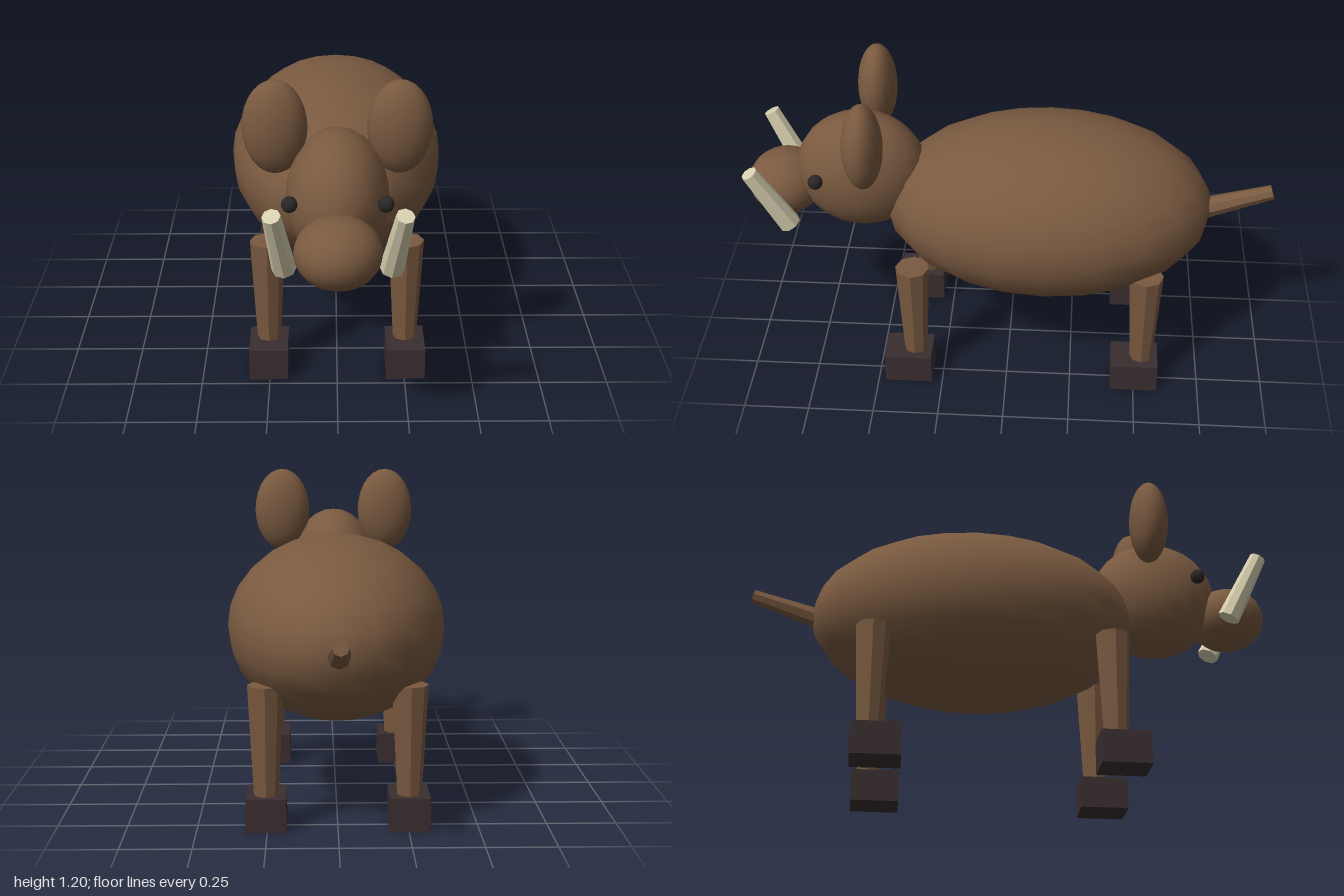
import * as THREE from 'three';

const mat = (name, color) => {
  const m = new THREE.MeshStandardMaterial({ color });
  m.name = name;
  return m;
};

export function createModel() {
  const group = new THREE.Group();
  const hide = mat('brown hide', 0x7a5a40);
  const ivory = mat('ivory', 0xd8d0b0);
  const hoofDark = mat('dark hoof', 0x3a2e30);
  const eyeDark = mat('dark eye', 0x2a2626);

  const add = (name, geometry, material, pos) => {
    const mesh = new THREE.Mesh(geometry, material);
    mesh.name = name;
    mesh.position.set(...pos);
    group.add(mesh);
    return mesh;
  };

  // Smooth ellipsoid given by its three radii
  const ellipsoid = (name, material, pos, radii, w = 20, h = 14) =>
    add(name, new THREE.SphereGeometry(1, w, h).scale(...radii), material, pos);

  // Faceted tapered rod between two points
  const rod = (name, material, from, to, r0, r1) => {
    const a = new THREE.Vector3(...from), b = new THREE.Vector3(...to);
    const geo = new THREE.CylinderGeometry(r1, r0, a.distanceTo(b), 8).toNonIndexed();
    geo.computeVertexNormals();
    const mesh = add(name, geo, material, a.clone().add(b).multiplyScalar(0.5).toArray());
    mesh.quaternion.setFromUnitVectors(new THREE.Vector3(0, 1, 0), b.sub(a).normalize());
    return mesh;
  };

  // Trunk, head and tail
  ellipsoid('body', hide, [0, 0.665, -0.145], [0.405, 0.337, 0.622]);
  ellipsoid('head', hide, [0, 0.795, 0.562], [0.178, 0.235, 0.247]);
  ellipsoid('snout', hide, [0, 0.726, 0.857], [0.147, 0.121, 0.143]);
  rod('tail', hide, [0, 0.66, -0.74], [0, 0.743, -0.99], 0.041, 0.028);

  for (const [side, s] of [['left', 1], ['right', -1]]) {
    // Face parts
    ellipsoid(side + 'Ear', hide, [s * 0.213, 1.032, 0.518], [0.112, 0.168, 0.074]);
    ellipsoid(side + 'Eye', eyeDark, [s * 0.161, 0.832, 0.712], [0.028, 0.028, 0.028], 12, 10);
    rod(side + 'Tusk', ivory, [s * 0.178, 0.65, 0.818], [s * 0.212, 0.898, 0.941], 0.042, 0.031);

    // Legs and hooves
    for (const [end, z] of [['Front', 0.355], ['Back', -0.525]]) {
      rod(side + end + 'Leg', hide, [s * 0.254, 0.1, z], [s * 0.254, 0.52, z], 0.043, 0.064);
      add(side + end + 'Hoof', new THREE.BoxGeometry(0.143, 0.122, 0.181), hoofDark,
        [s * 0.254, 0.061, z + 0.026]);
    }
  }
  return group;
}
